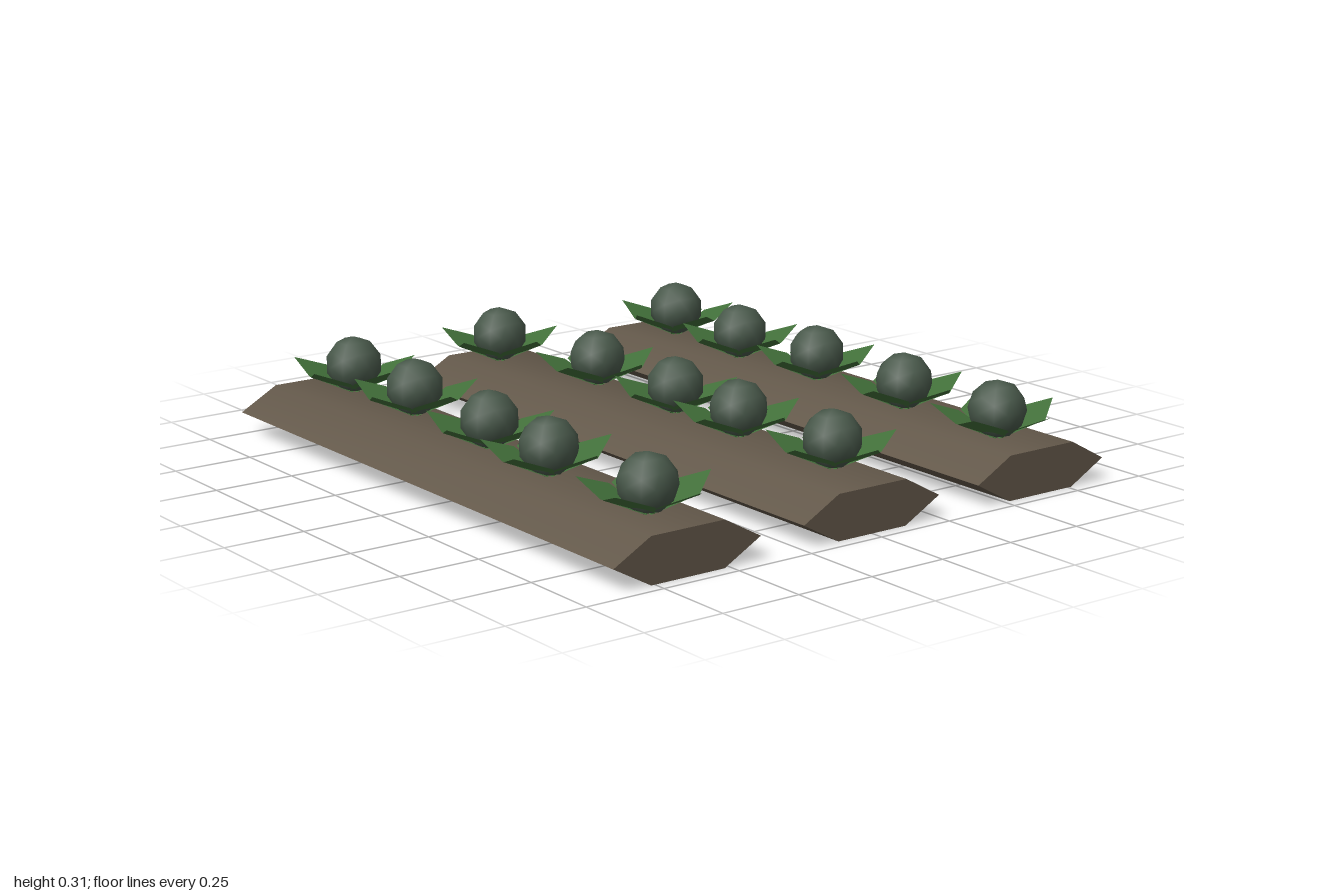
import * as THREE from 'three';
import { mergeVertices, toCreasedNormals } from 'three/addons/utils/BufferGeometryUtils.js';

const soil = new THREE.MeshStandardMaterial({ name: 'soil brown', color: 0x63584a });
const leafGreen = new THREE.MeshStandardMaterial({ name: 'leaf green', color: 0x42703a, side: THREE.DoubleSide });
const headGreen = new THREE.MeshStandardMaterial({ name: 'head grey green', color: 0x48584a });

// Plants of each row: [x, z, turn in degrees]
const rows = [
  { z: -0.64, plants: [[-0.79, -0.64, 6], [-0.41, -0.61, 3], [-0.04, -0.625, 0], [0.39, -0.61, -3], [0.8, -0.61, -9]] },
  { z: 0, plants: [[-0.84, 0.03, -3], [-0.4, -0.04, -9], [0.015, -0.03, 3], [0.34, -0.015, -4], [0.76, -0.02, 0]] },
  { z: 0.64, plants: [[-0.78, 0.61, -3], [-0.43, 0.61, 0], [0.01, 0.635, 0], [0.345, 0.66, -8], [0.8, 0.655, -10]] },
];

// Flattened hexagonal ridge, soft over the top and sharp along its sides
function ridgeGeometry() {
  const outline = [[0.245, 0.068], [0.122, 0.136], [-0.122, 0.136], [-0.245, 0.068], [-0.122, 0], [0.122, 0]];
  const shape = new THREE.Shape(outline.map(([z, y]) => new THREE.Vector2(z, y)));
  const g = new THREE.ExtrudeGeometry(shape, { depth: 1.96, bevelEnabled: false });
  g.rotateY(Math.PI / 2).translate(-1, 0, 0);
  return toCreasedNormals(g, Math.PI / 4);
}

// Flat kite-shaped leaf, rising outwards along +x
function leafGeometry() {
  const outline = [[0, -0.02], [0.116, -0.078], [0.195, 0], [0.116, 0.078], [0, 0.02]];
  const g = new THREE.ShapeGeometry(new THREE.Shape(outline.map(([x, y]) => new THREE.Vector2(x, y))));
  g.rotateX(-Math.PI / 2);
  const p = g.attributes.position;
  for (let i = 0; i < p.count; i++) p.setY(i, 0.14 + 0.49 * p.getX(i));
  g.computeVertexNormals();
  return g;
}

// Low-poly rounded head
function headGeometry() {
  const g = new THREE.IcosahedronGeometry(0.087, 1);
  g.deleteAttribute('normal');
  g.deleteAttribute('uv');
  const smooth = mergeVertices(g, 1e-4);
  smooth.computeVertexNormals();
  return smooth;
}

export function createModel() {
  const model = new THREE.Group();
  model.name = 'vegetablePatch';
  const ridgeGeo = ridgeGeometry(), leafGeo = leafGeometry(), headGeo = headGeometry();

  for (const row of rows) {
    const ridge = new THREE.Mesh(ridgeGeo, soil);
    ridge.name = 'soilRidge';
    ridge.position.z = row.z;
    model.add(ridge);

    for (const [x, z, turn] of row.plants) {
      const plant = new THREE.Group();
      plant.name = 'cabbage';
      plant.position.set(x, 0, z);
      plant.rotation.y = -THREE.MathUtils.degToRad(turn);

      const head = new THREE.Mesh(headGeo, headGreen);
      head.name = 'head';
      head.position.y = 0.226;
      plant.add(head);

      // Five leaves spread around the head
      for (let i = 0; i < 5; i++) {
        const leaf = new THREE.Mesh(leafGeo, leafGreen);
        leaf.name = 'leaf';
        leaf.rotation.y = (i * Math.PI * 2) / 5;
        plant.add(leaf);
      }
      model.add(plant);
    }
  }
  return model;
}
